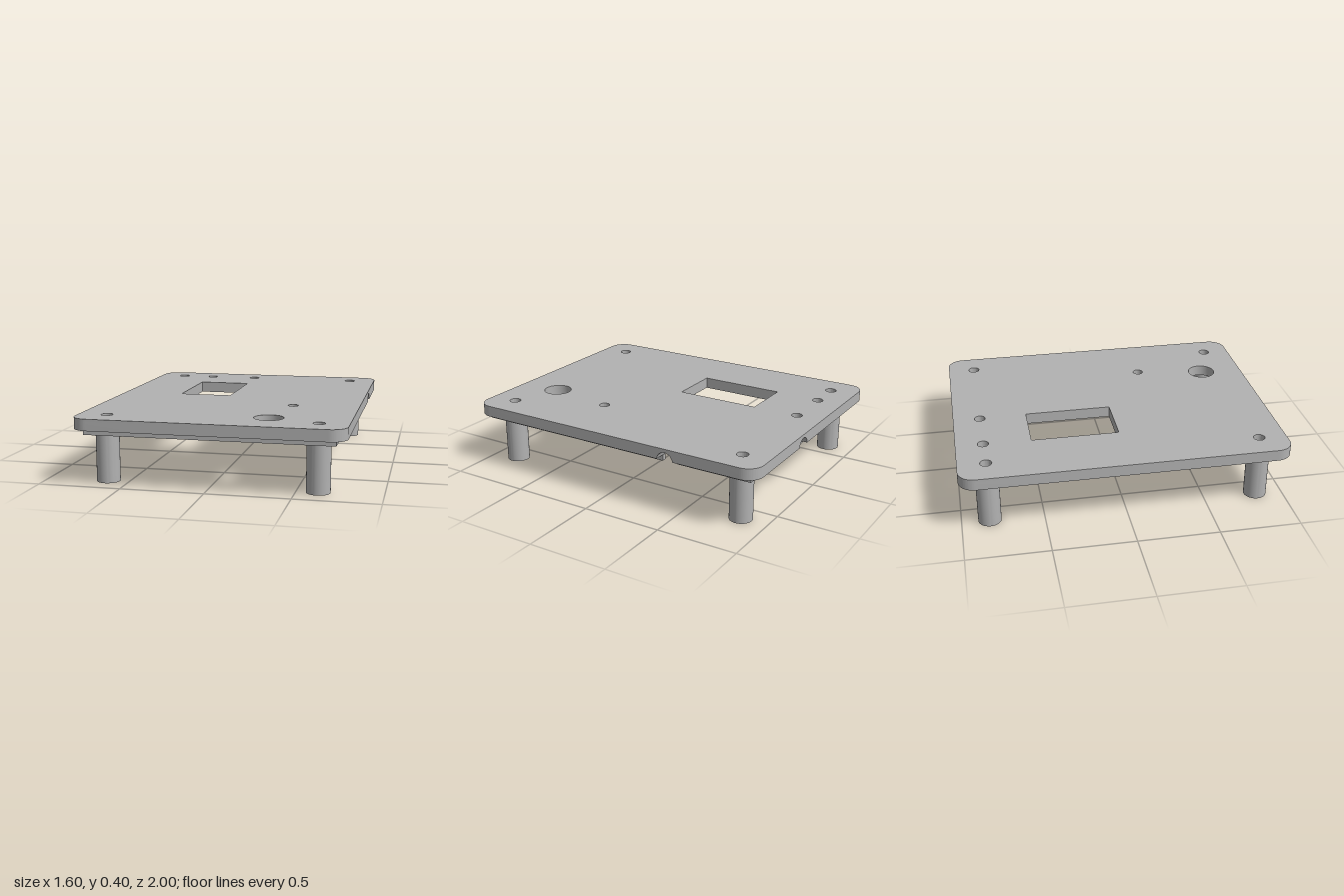
import * as THREE from 'three';
import { toCreasedNormals } from 'three/addons/utils/BufferGeometryUtils.js';

const W = 0.8, D = 1, R = 0.1;            // plate half sizes and corner radius
const TOP = 0.4, MID = 0.385, UNDER = 0.33, LIP = 0.295;
const LEG = { x: 0.628, z: 0.83, r: 0.07, bore: 0.035 };
const GROOVE = { r: 0.053, y: 0.325, depth: 0.1, backX: 0.18, sideZ: -0.42 };

export function createModel() {
  const group = new THREE.Group();
  const grey = new THREE.MeshStandardMaterial({ color: 0xb2b2b2 });

  const add = (name, geometry) => {
    const mesh = new THREE.Mesh(toCreasedNormals(geometry, 0.5), grey);
    mesh.name = name;
    group.add(mesh);
    return mesh;
  };
  const extrude = (shape, depth) =>
    new THREE.ExtrudeGeometry(shape, { depth, bevelEnabled: false, curveSegments: 24 });
  // Shapes are drawn in (x, z) and extruded down from y1 to y0
  const slab = (name, shape, y0, y1) =>
    add(name, extrude(shape, y1 - y0).rotateX(Math.PI / 2).translate(0, y1, 0));
  const circle = (x, z, r, Type = THREE.Path) => new Type().absarc(x, z, r, 0, Math.PI * 2);
  const polygon = (pts, Type = THREE.Shape) => new Type(pts.map(([x, z]) => new THREE.Vector2(x, z)));

  const corners = [[1, 1], [-1, 1], [1, -1], [-1, -1]].map(([sx, sz]) => [sx * LEG.x, sz * LEG.z]);

  // Rounded plate outline with every opening, optionally notched for the cable grooves
  function plateShape(notched) {
    const s = new THREE.Shape();
    const { r, depth, backX: bx, sideZ: sz } = GROOVE;
    s.moveTo(-W + R, -D);
    if (notched) {
      s.lineTo(bx - r, -D).lineTo(bx - r, -D + depth).lineTo(bx + r, -D + depth).lineTo(bx + r, -D);
    }
    s.lineTo(W - R, -D);
    s.absarc(W - R, -D + R, R, -Math.PI / 2, 0);
    if (notched) {
      s.lineTo(W, sz - r).lineTo(W - depth, sz - r).lineTo(W - depth, sz + r).lineTo(W, sz + r);
    }
    s.lineTo(W, D - R);
    s.absarc(W - R, D - R, R, 0, Math.PI / 2);
    s.lineTo(-W + R, D);
    s.absarc(-W + R, D - R, R, Math.PI / 2, Math.PI);
    s.lineTo(-W, -D + R);
    s.absarc(-W + R, -D + R, R, Math.PI, Math.PI * 1.5);

    const holes = corners.map(([x, z]) => [x, z, LEG.bore]);
    holes.push([-0.405, -0.832, 0.034], [-0.085, -0.832, 0.034], [0.392, 0.29, 0.032], [0.32, 0.725, 0.088]);
    for (const [x, z, radius] of holes) s.holes.push(circle(x, z, radius));
    s.holes.push(polygon([[-0.412, -0.54], [-0.078, -0.54], [-0.078, 0], [-0.412, 0]], THREE.Path));
    return s;
  }
  slab('plateTop', plateShape(false), MID, TOP);
  slab('plateUnderside', plateShape(true), UNDER, MID);

  // Arched roofs that fill the notches above each round cable groove
  const a = Math.asin((UNDER - GROOVE.y) / GROOVE.r);
  const arch = new THREE.Shape();
  arch.moveTo(-GROOVE.r, MID).lineTo(-GROOVE.r, UNDER);
  arch.absarc(0, GROOVE.y, GROOVE.r, Math.PI - a, a, true);
  arch.lineTo(GROOVE.r, UNDER).lineTo(GROOVE.r, MID);
  add('backGroove', extrude(arch, GROOVE.depth)).position.set(GROOVE.backX, 0, -D);
  const side = add('sideGroove', extrude(arch, GROOVE.depth));
  side.rotation.y = Math.PI / 2;
  side.position.set(W - GROOVE.depth, 0, GROOVE.sideZ);

  // Locating lip under the plate, interrupted at the grooves
  const ox = 0.738, oz = 0.942, ix = 0.708, iz = 0.912, g = 0.049;
  const bl = GROOVE.backX - g, br = GROOVE.backX + g, sb = GROOVE.sideZ - g, sf = GROOVE.sideZ + g;
  slab('lipCorner', polygon([[br, -oz], [ox, -oz], [ox, sb], [ix, sb], [ix, -iz], [br, -iz]]), LIP, UNDER);
  slab('lipMain', polygon([
    [ox, sf], [ox, oz], [-ox, oz], [-ox, -oz], [bl, -oz],
    [bl, -iz], [-ix, -iz], [-ix, iz], [ix, iz], [ix, sf],
  ]), LIP, UNDER);

  // Hollow standoff legs
  for (const [x, z] of corners) {
    const ring = circle(x, z, LEG.r, THREE.Shape);
    ring.holes.push(circle(x, z, LEG.bore));
    slab('leg', ring, 0, UNDER);
  }
  return group;
}
